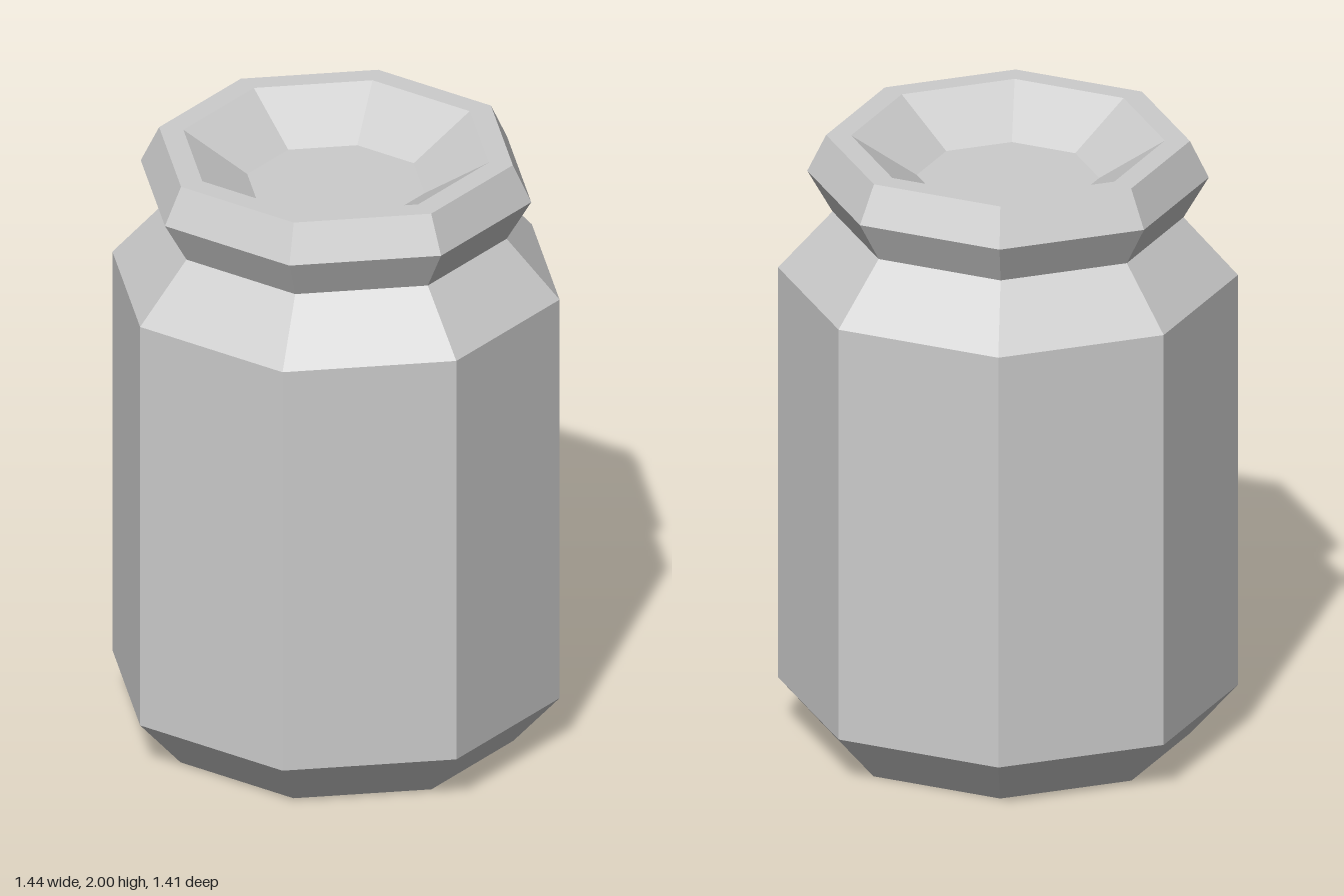
import * as THREE from 'three';

const SIDES = 8;
const DEPTH = 0.98; // the jar is slightly shallower than it is wide

// Turns a [radius, height] profile into an eight-sided faceted ring
function turned(name, profile, material) {
  const points = profile.map(([r, y]) => new THREE.Vector2(r, y));
  const mesh = new THREE.Mesh(new THREE.LatheGeometry(points, SIDES), material);
  mesh.name = name;
  mesh.scale.z = DEPTH;
  return mesh;
}

export function createModel() {
  const material = new THREE.MeshStandardMaterial({ color: 0xcccccc, flatShading: true });
  const jar = new THREE.Group();
  jar.name = 'jar';

  // Closed base, chamfered foot, straight wall and sloping shoulder
  jar.add(turned('body', [[0, 0], [0.57, 0], [0.718, 0.165], [0.718, 1.55], [0.548, 1.742]], material));

  // Flared collar with a flat rim
  jar.add(turned('collar', [[0.548, 1.742], [0.627, 1.878], [0.568, 2], [0.49, 2]], material));

  // Shallow dished top inside the rim
  jar.add(turned('dish', [[0.49, 2], [0.285, 1.87], [0, 1.87]], material));

  return jar;
}
